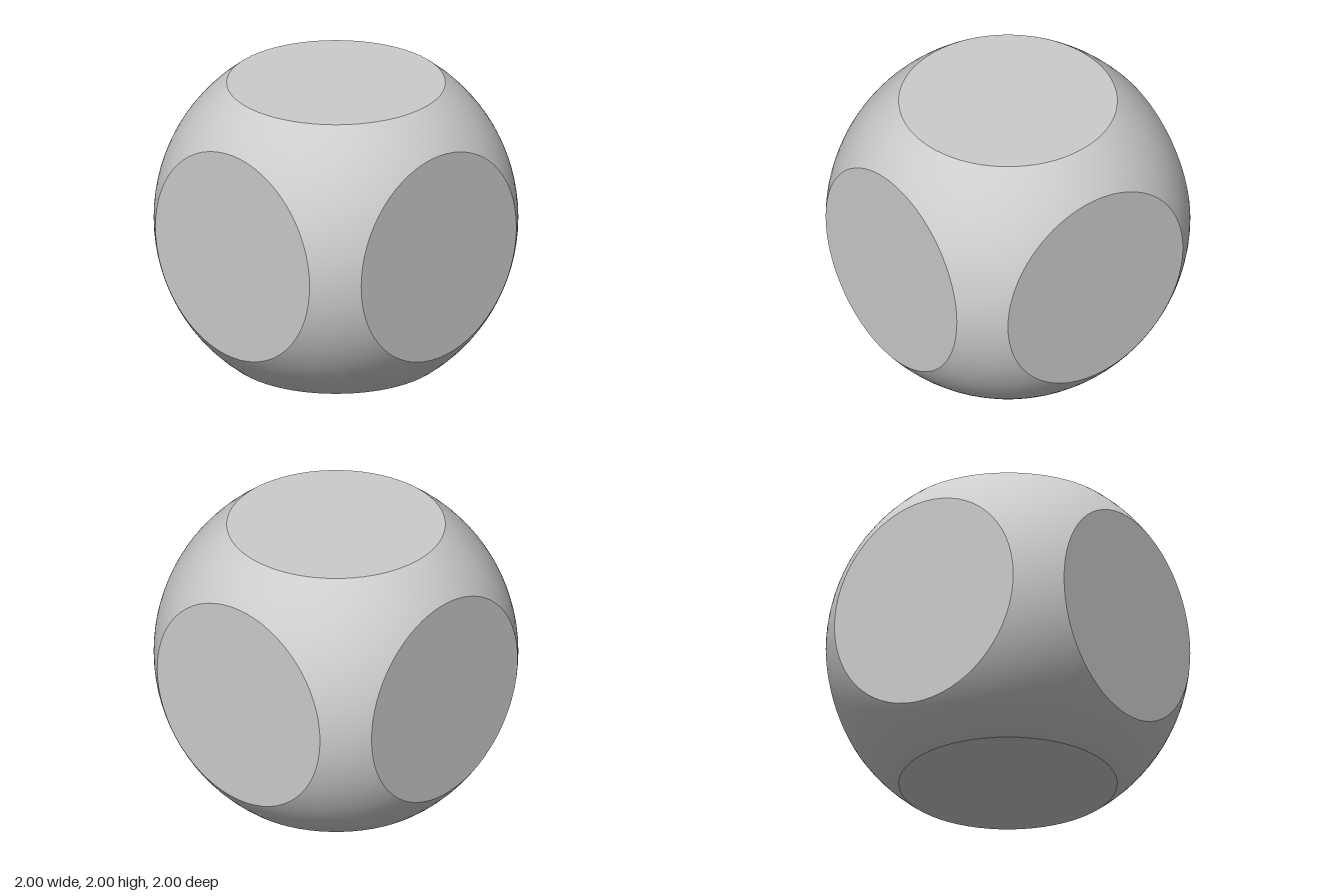
import * as THREE from 'three';

const HALF = 1;                            // distance from centre to each flat
const CAP = 0.75;                          // radius of each flat disc
const RADIUS = Math.hypot(HALF, CAP);      // sphere radius, 1.25
const SEGMENTS = 64;
const RINGS = 10;

// Sphere surface around one flat (+z), from the disc rim out to the
// square border it shares with the four neighbouring patches
function createPatchGeometry() {
  const positions = [], normals = [], indices = [];
  const rim = Math.atan2(CAP, HALF);
  for (let j = 0; j <= RINGS; j++) {
    for (let i = 0; i <= SEGMENTS; i++) {
      const phi = (i / SEGMENTS) * Math.PI * 2;
      const c = Math.cos(phi), s = Math.sin(phi);
      const border = Math.atan(1 / Math.max(Math.abs(c), Math.abs(s)));
      const theta = THREE.MathUtils.lerp(rim, border, j / RINGS);
      const n = [Math.sin(theta) * c, Math.sin(theta) * s, Math.cos(theta)];
      normals.push(...n);
      positions.push(...n.map((v) => v * RADIUS));
      if (j < RINGS && i < SEGMENTS) {
        const a = j * (SEGMENTS + 1) + i, b = a + SEGMENTS + 1;
        indices.push(a, b, b + 1, a, b + 1, a + 1);
      }
    }
  }
  const geometry = new THREE.BufferGeometry();
  geometry.setAttribute('position', new THREE.Float32BufferAttribute(positions, 3));
  geometry.setAttribute('normal', new THREE.Float32BufferAttribute(normals, 3));
  geometry.setIndex(indices);
  return geometry;
}

export function createModel() {
  const model = new THREE.Group();
  model.name = 'flattenedSphere';
  const grey = new THREE.MeshStandardMaterial({ color: 0xcccccc });
  grey.name = 'light grey';

  const patch = createPatchGeometry();
  const disc = new THREE.CircleGeometry(CAP, SEGMENTS).translate(0, 0, HALF);

  // Six identical sides, each a flat disc with its curved surround
  const quarter = Math.PI / 2;
  const sides = {
    front: [0, 0], left: [0, quarter], back: [0, Math.PI],
    right: [0, -quarter], top: [-quarter, 0], bottom: [quarter, 0],
  };
  for (const [name, [rx, ry]] of Object.entries(sides)) {
    const side = new THREE.Group();
    side.name = `${name}Side`;
    const surround = new THREE.Mesh(patch, grey);
    surround.name = `${name}CurvedSurface`;
    const flat = new THREE.Mesh(disc, grey);
    flat.name = `${name}FlatDisc`;
    side.add(surround, flat);
    side.rotation.set(rx, ry, 0);
    side.position.y = HALF;
    model.add(side);
  }
  return model;
}
